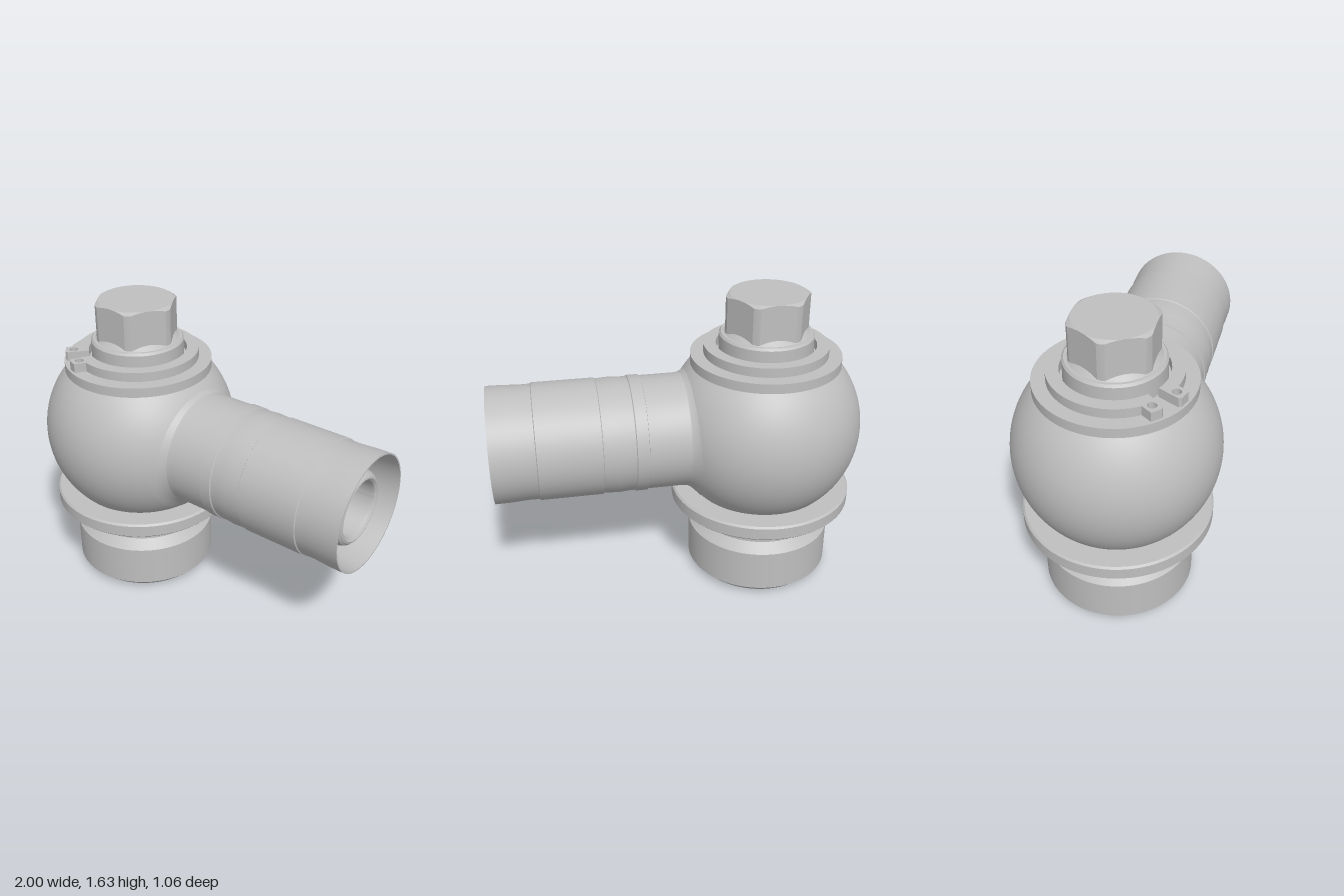
import * as THREE from 'three';
import { toCreasedNormals } from 'three/addons/utils/BufferGeometryUtils.js';

const AXIS_X = -0.47, CENTRE_Y = 0.89, BALL_R = 0.53;

export function createModel() {
  const group = new THREE.Group();
  const steel = new THREE.MeshStandardMaterial({ color: 0xbfbfbf });
  steel.name = 'steel grey';

  const add = (name, geometry, x, y) => {
    const mesh = new THREE.Mesh(geometry, steel);
    mesh.name = name;
    mesh.position.set(x, y, 0);
    group.add(mesh);
    return mesh;
  };
  // profile is a list of [radius, height]; outer walls run upwards, bores downwards
  const lathe = (profile, segments = 96) =>
    new THREE.LatheGeometry(profile.map(([r, h]) => new THREE.Vector2(r, h)), segments);
  const turned = (profile) => toCreasedNormals(lathe(profile), 0.35);

  // Ball body, cut flat at the bottom and finished with a rim at the top
  const ball = [[0, -0.38]];
  const low = Math.asin(-0.38 / BALL_R), high = Math.asin(0.36 / BALL_R);
  for (let i = 0; i <= 40; i++) {
    const a = low + (high - low) * i / 40;
    ball.push([BALL_R * Math.cos(a), BALL_R * Math.sin(a)]);
  }
  ball.push([0.4, 0.36], [0.4, 0.412], [0, 0.412]);
  add('ballBody', turned(ball), AXIS_X, CENTRE_Y);

  // Threaded base with conical seat, neck and sealing flange
  add('threadedBase', turned([
    [0, 0.5], [0.2, 0.5], [0.21, 0.38], [0.325, 0.02], [0.34, 0],
    [0.36, 0], [0.4, 0.04], [0.4, 0.27], [0.35, 0.32], [0.35, 0.42], [0.37, 0.437],
    [0.49, 0.437], [0.5, 0.447], [0.5, 0.51], [0.49, 0.52], [0, 0.52],
  ]), AXIS_X, 0);

  // Bolt collar
  add('boltCollar', turned([
    [0.25, 1.29], [0.25, 1.41], [0.24, 1.422], [0.225, 1.422], [0.2, 1.445], [0, 1.445],
  ]), AXIS_X, 0);

  // Hexagonal bolt head: turned blank pressed to six flats, with bevelled corners
  const head = lathe([[0.222, 1.42], [0.222, 1.63], [0.2, 1.63], [0, 1.63]], 72);
  const p = head.attributes.position;
  for (let i = 0; i < p.count; i++) {
    const x = p.getX(i), z = p.getZ(i), r = Math.hypot(x, z);
    if (r < 0.21) continue;
    const sixth = Math.PI / 3;
    const phi = Math.atan2(x, z);
    const off = phi - Math.round(phi / sixth) * sixth;
    const newR = Math.min(0.2 / Math.cos(off), 0.222);
    const drop = p.getY(i) > 1.5 ? (newR - 0.2) * 0.6 : 0;
    p.setXYZ(i, x * newR / r, p.getY(i) - drop, z * newR / r);
  }
  add('hexHead', toCreasedNormals(head, 0.25), AXIS_X, 0);

  // Open retaining ring with two pierced ears
  const deg = Math.PI / 180, mid = 123.5;
  const polar = (r, a) => [r * Math.cos(a * deg), r * Math.sin(a * deg)];
  const ring = new THREE.Shape();
  const start = mid + 7, end = mid + 353;
  ring.moveTo(...polar(0.265, start));
  ring.lineTo(...polar(0.38, start));
  ring.lineTo(...polar(0.39, start + 2));
  ring.lineTo(...polar(0.39, start + 10));
  ring.lineTo(...polar(0.33, start + 13));
  ring.absarc(0, 0, 0.33, (start + 13) * deg, (end - 13) * deg, false);
  ring.lineTo(...polar(0.39, end - 10));
  ring.lineTo(...polar(0.39, end - 2));
  ring.lineTo(...polar(0.38, end));
  ring.lineTo(...polar(0.265, end));
  ring.absarc(0, 0, 0.265, end * deg, start * deg, true);
  for (const a of [mid - 12.5, mid + 12.5]) {
    const hole = new THREE.Path();
    hole.absarc(...polar(0.345, a), 0.023, 0, Math.PI * 2, true);
    ring.holes.push(hole);
  }
  const ringGeometry = new THREE.ExtrudeGeometry(ring, { depth: 0.05, bevelEnabled: false, curveSegments: 48 });
  ringGeometry.rotateX(Math.PI / 2);
  add('retainingRing', toCreasedNormals(ringGeometry, 0.35), AXIS_X, 1.355);

  // Side arm: filleted root, shallow collars, flared socket and inner nipple
  const arm = add('sideArm', turned([
    [0.372, -0.093], [0.345, -0.068], [0.322, -0.045], [0.309, -0.02], [0.306, 0.01],
    [0.306, 0.198], [0.312, 0.2], [0.312, 0.262], [0.306, 0.266],
    [0.307, 0.3], [0.311, 0.35], [0.306, 0.432], [0.312, 0.436],
    [0.312, 0.766], [0.306, 0.77], [0.305, 0.83], [0.31, 0.92], [0.311, 1],
    [0.303, 1], [0.283, 0.8], [0.283, 0.62],
  ]), 0, 0.885);
  const nipple = add('innerNipple', turned([
    [0.283, 0.62], [0.2, 0.62], [0.2, 0.89], [0.197, 0.915], [0.188, 0.935], [0.175, 0.947],
    [0.165, 0.95], [0.152, 0.94], [0.148, 0.92], [0.148, 0.12], [0.08, 0.12], [0.08, 0.07], [0, 0.07],
  ]), 0, 0.885);
  arm.rotation.z = nipple.rotation.z = -Math.PI / 2;

  return group;
}
